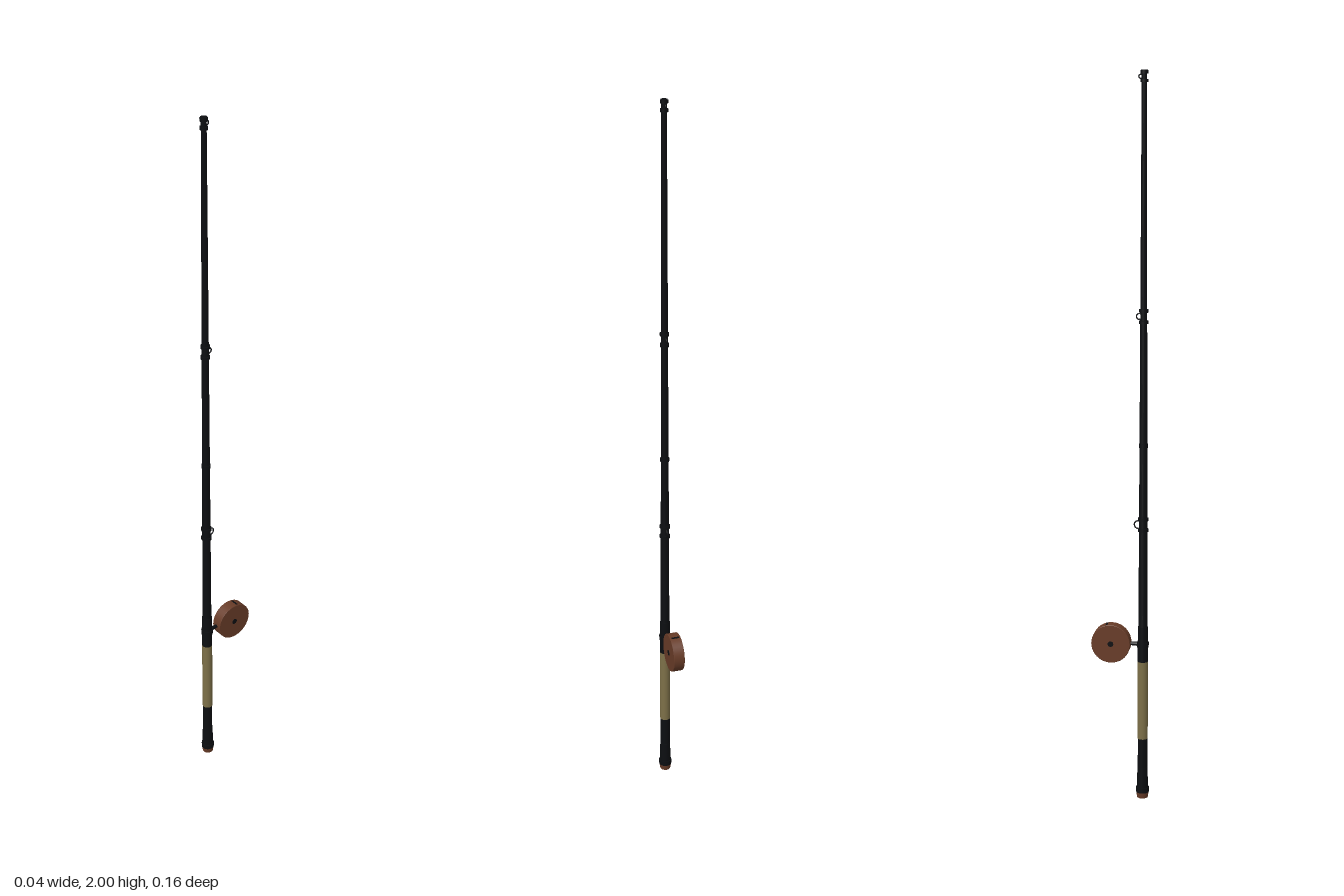
import * as THREE from 'three';

export function createModel() {
  const model = new THREE.Group();
  model.name = 'fishingRod';
  const mat = (name, color) => {
    const m = new THREE.MeshStandardMaterial({ color });
    m.name = name;
    return m;
  };
  const black = mat('black', 0x0c0e11);
  const tan = mat('tan', 0x7d7048);
  const brown = mat('brown', 0x683c28);

  const add = (parent, name, geometry, material, x = 0, y = 0, z = 0) => {
    const mesh = new THREE.Mesh(geometry, material);
    mesh.name = name;
    mesh.position.set(x, y, z);
    parent.add(mesh);
    return mesh;
  };

  const rod = new THREE.Group();
  rod.name = 'rod';
  rod.position.z = 0.062;
  model.add(rod);

  // Upright section between two heights
  const section = (name, y0, y1, r0, r1, material) =>
    add(rod, name, new THREE.CylinderGeometry(r1, r0, y1 - y0, 20), material, 0, (y0 + y1) / 2);

  // Handle and tapering blank
  section('endCap', 0, 0.016, 0.015, 0.0175, brown);
  section('buttCollar', 0.016, 0.03, 0.018, 0.018, black);
  section('butt', 0.03, 0.09, 0.0155, 0.0145, black);
  section('lowerHandle', 0.09, 0.175, 0.0135, 0.0135, black);
  section('grip', 0.175, 0.4, 0.0145, 0.0145, tan);
  section('reelSeat', 0.4, 0.5, 0.0145, 0.014, black);
  section('blank', 0.5, 1.995, 0.0125, 0.007, black);
  section('seatRing', 0.442, 0.456, 0.0165, 0.0165, black);

  // Line guides: two wrappings and a loop behind the blank
  for (const [y, r, loop] of [[0.79, 0.0145, 0.011], [1.36, 0.0125, 0.008], [1.983, 0.0105, 0.005]]) {
    const gap = y > 1.9 ? 0.011 : 0.015;
    for (const s of [-1, 1]) section('guideWrap', y + s * gap - 0.004, y + s * gap + 0.004, r, r, black);
    const ring = add(rod, 'guideLoop', new THREE.TorusGeometry(loop, 0.0018, 8, 20), black, 0, y, -r + 0.001);
    ring.rotation.y = Math.PI / 2;
  }
  section('hookKeeper', 1.005, 1.015, 0.0125, 0.0125, black);
  section('tip', 1.994, 2, 0.009, 0.009, black);

  // Reel: a drum lying across the rod, with a lightly rounded rim
  const reel = new THREE.Group();
  reel.name = 'reel';
  reel.position.set(0, 0.45, -0.026);
  model.add(reel);
  const half = 0.0155, R = 0.054;
  const profile = [[0, -half], [R - 0.001, -half], [R - 0.001, -half], [R, -half + 0.001], [R, -half + 0.001],
    [R, half - 0.001], [R, half - 0.001], [R - 0.001, half], [R - 0.001, half], [0, half]];
  const drum = add(reel, 'drum', new THREE.LatheGeometry(profile.map(p => new THREE.Vector2(...p)), 40), brown);
  drum.rotation.z = Math.PI / 2;
  // Line slot and side hubs
  const slot = add(reel, 'lineSlot', new THREE.BoxGeometry(0.022, 0.002, 0.005), black, 0, R * 0.975, -0.012);
  slot.rotation.x = -0.22;
  for (const s of [-1, 1]) {
    const hub = add(reel, 'hub', new THREE.CylinderGeometry(0.008, 0.008, 0.002, 16), black, s * half, 0, 0);
    hub.rotation.z = Math.PI / 2;
  }

  // Stem joining reel to rod
  const stem = add(model, 'reelStem', new THREE.CylinderGeometry(0.0045, 0.0065, 0.034, 12), black, 0, 0.45, 0.038);
  stem.rotation.x = -Math.PI / 2;
  return model;
}
